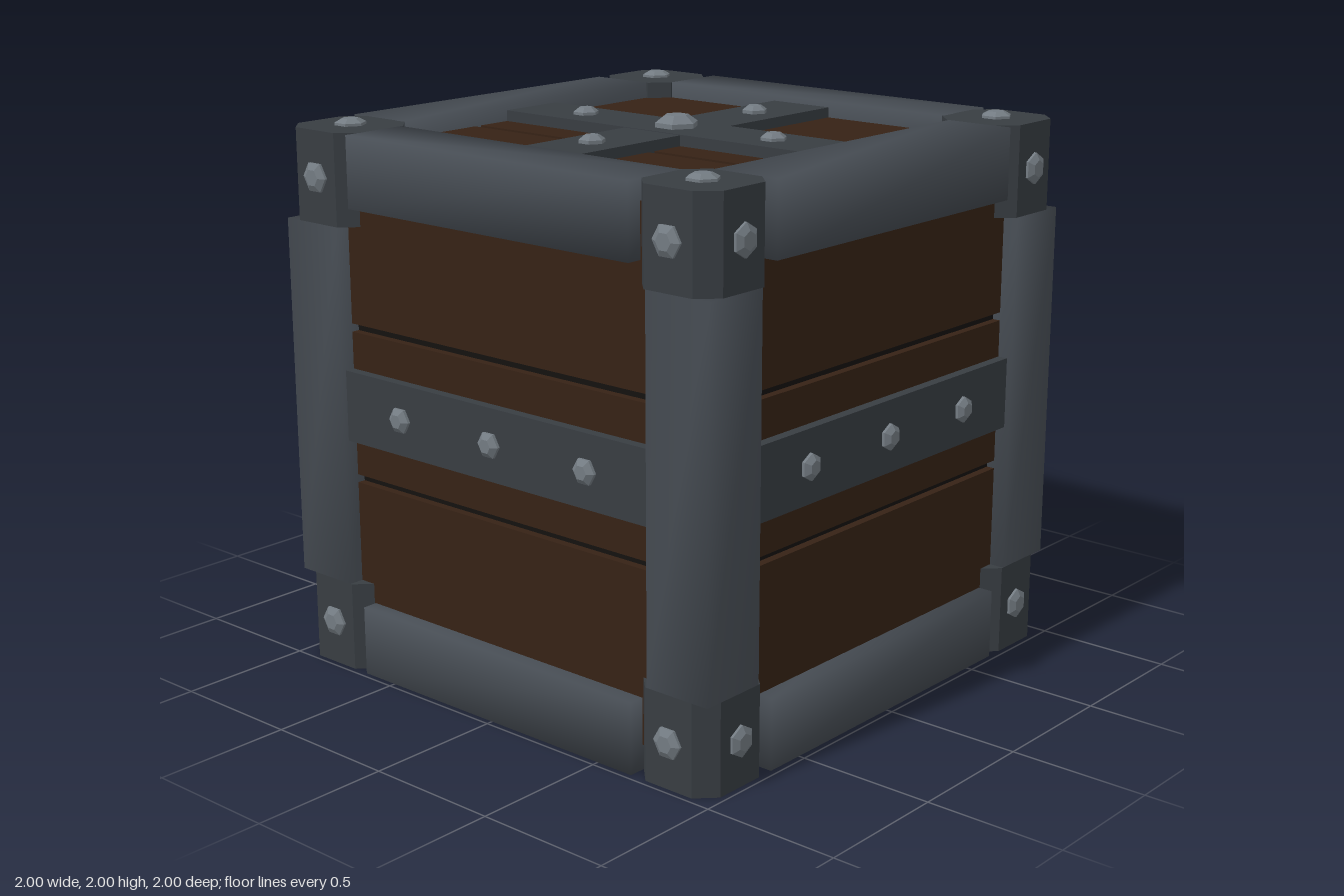
import * as THREE from 'three';
import { mergeVertices } from 'three/addons/utils/BufferGeometryUtils.js';

const mat = (color) => new THREE.MeshStandardMaterial({ color });
const railMat = mat(0x474d54);
const plateMat = mat(0x383d42);
const woodMat = mat(0x362215);
const darkMat = mat(0x14110f);
const boltMat = mat(0x737b82);
boltMat.flatShading = true;

const H = 0.977;        // half width of the frame
const TOP = 1.98;       // top of the frame
const MID = 1.0;        // height of the side straps
const BAR = 0.257;      // width of the frame bars
const WOOD = 0.92;      // half width to the plank surface
const STRAP = 0.957;    // half width to the strap surface
const CORNER = 0.33;    // size of the corner blocks

function add(parent, name, geometry, material, x = 0, y = 0, z = 0) {
  const mesh = new THREE.Mesh(geometry, material);
  mesh.name = name;
  mesh.position.set(x, y, z);
  parent.add(mesh);
  return mesh;
}

const box = (w, h, d) => new THREE.BoxGeometry(w, h, d);

// Bar with normals shared across its edges
function softBox(w, h, d) {
  const g = box(w, h, d);
  g.deleteAttribute('uv');
  g.deleteAttribute('normal');
  const merged = mergeVertices(g);
  merged.computeVertexNormals();
  return merged;
}

// Six-sided bolt: short straight shank and a tapered head, pointing +y
function boltGeometry(r, h) {
  const pts = [[r, -0.02], [r, h * 0.4], [r * 0.55, h], [0, h]];
  return new THREE.LatheGeometry(pts.map(([x, y]) => new THREE.Vector2(x, y)), 6);
}
const strapBolt = boltGeometry(0.048, 0.026);
const cornerBolt = boltGeometry(0.057, 0.023);
const centreBolt = boltGeometry(0.08, 0.043);

// Octagonal corner block, standing on y = 0
function cornerGeometry() {
  const a = CORNER / 2, b = a - 0.066;
  const shape = new THREE.Shape(
    [[a, -b], [a, b], [b, a], [-b, a], [-a, b], [-a, -b], [-b, -a], [b, -a]]
      .map(([x, y]) => new THREE.Vector2(x, y)));
  return new THREE.ExtrudeGeometry(shape, { depth: CORNER, bevelEnabled: false }).rotateX(-Math.PI / 2);
}

// Three planks lying side by side across `axis`, facing +y, with gaps between them
function planks(parent, span, gap) {
  const edge = span / 2, half = gap / 2, line = 0.28;
  for (const [from, to] of [[-edge, -line - half], [-line + half, line - half], [line + half, edge]]) {
    add(parent, 'plank', box(to - from, 0.03, 1.82), woodMat, (from + to) / 2, -0.015, 0);
  }
}

export function createModel() {
  const crate = new THREE.Group();
  crate.name = 'crate';

  // Dark core seen in the gaps between planks
  add(crate, 'core', box(1.78, 1.8, 1.78), darkMat, 0, 0.99, 0);

  // Four sides: horizontal planks, strap and bolts
  for (let i = 0; i < 4; i++) {
    const side = new THREE.Group();
    side.name = 'side';
    side.rotation.y = i * Math.PI / 2;
    crate.add(side);

    const panel = new THREE.Group();
    panel.name = 'sidePlanks';
    panel.rotation.set(Math.PI / 2, Math.PI / 2, 0);
    panel.position.set(0, MID, WOOD);
    side.add(panel);
    planks(panel, 1.82, 0.03);

    add(side, 'sideStrap', box(1.5, 0.26, 0.06), plateMat, 0, MID, STRAP - 0.03);
    for (const x of [-0.44, 0, 0.44]) {
      const bolt = add(side, 'strapBolt', strapBolt, boltMat, x, MID, STRAP);
      bolt.rotation.x = Math.PI / 2;
      if (i % 2) bolt.rotation.y = Math.PI / 6;
    }

    // Upper and lower rails and one corner post
    for (const y of [BAR / 2, TOP - BAR / 2]) {
      add(side, 'rail', softBox(1.3, BAR, BAR), railMat, 0, y, H - BAR / 2);
    }
    add(side, 'cornerPost', softBox(BAR, TOP - 2 * CORNER, BAR), railMat, H - BAR / 2, TOP / 2, H - BAR / 2);
  }

  // Top and bottom panels
  const lid = new THREE.Group();
  lid.name = 'topPlanks';
  lid.position.y = TOP - 0.06;
  crate.add(lid);
  planks(lid, 1.82, 0.03);

  const base = new THREE.Group();
  base.name = 'bottomPlanks';
  base.rotation.set(Math.PI, Math.PI / 2, 0);
  base.position.y = 0.06;
  crate.add(base);
  planks(base, 1.82, 0.03);

  // Crossed straps on the top
  const strapTop = TOP - 0.02;
  add(crate, 'topStrapLong', box(0.26, 0.06, 1.5), plateMat, 0, strapTop - 0.03, 0);
  for (const s of [-1, 1]) {
    add(crate, 'topStrapShort', box(0.62, 0.06, 0.26), plateMat, s * 0.44, strapTop - 0.032, 0);
    add(crate, 'topStrapBolt', strapBolt, boltMat, s * 0.44, strapTop, 0);
    add(crate, 'topStrapBolt', strapBolt, boltMat, 0, strapTop, s * 0.44);
  }
  add(crate, 'topCentreBolt', centreBolt, boltMat, 0, strapTop, 0);

  // Corner blocks, with bolts on their outer faces
  const block = cornerGeometry();
  const c = H - CORNER / 2;
  for (const sx of [-1, 1]) {
    for (const sz of [-1, 1]) {
      for (const y of [0, TOP - CORNER]) {
        add(crate, 'cornerBlock', block, plateMat, sx * c, y, sz * c);
        const mid = y + CORNER / 2;
        add(crate, 'cornerBolt', cornerBolt, boltMat, sx * c, mid, sz * H).rotation.x = sz * Math.PI / 2;
        add(crate, 'cornerBolt', cornerBolt, boltMat, sx * H, mid, sz * c).rotation.z = -sx * Math.PI / 2;
      }
      add(crate, 'topCornerBolt', cornerBolt, boltMat, sx * c, TOP, sz * c);
    }
  }
  return crate;
}
